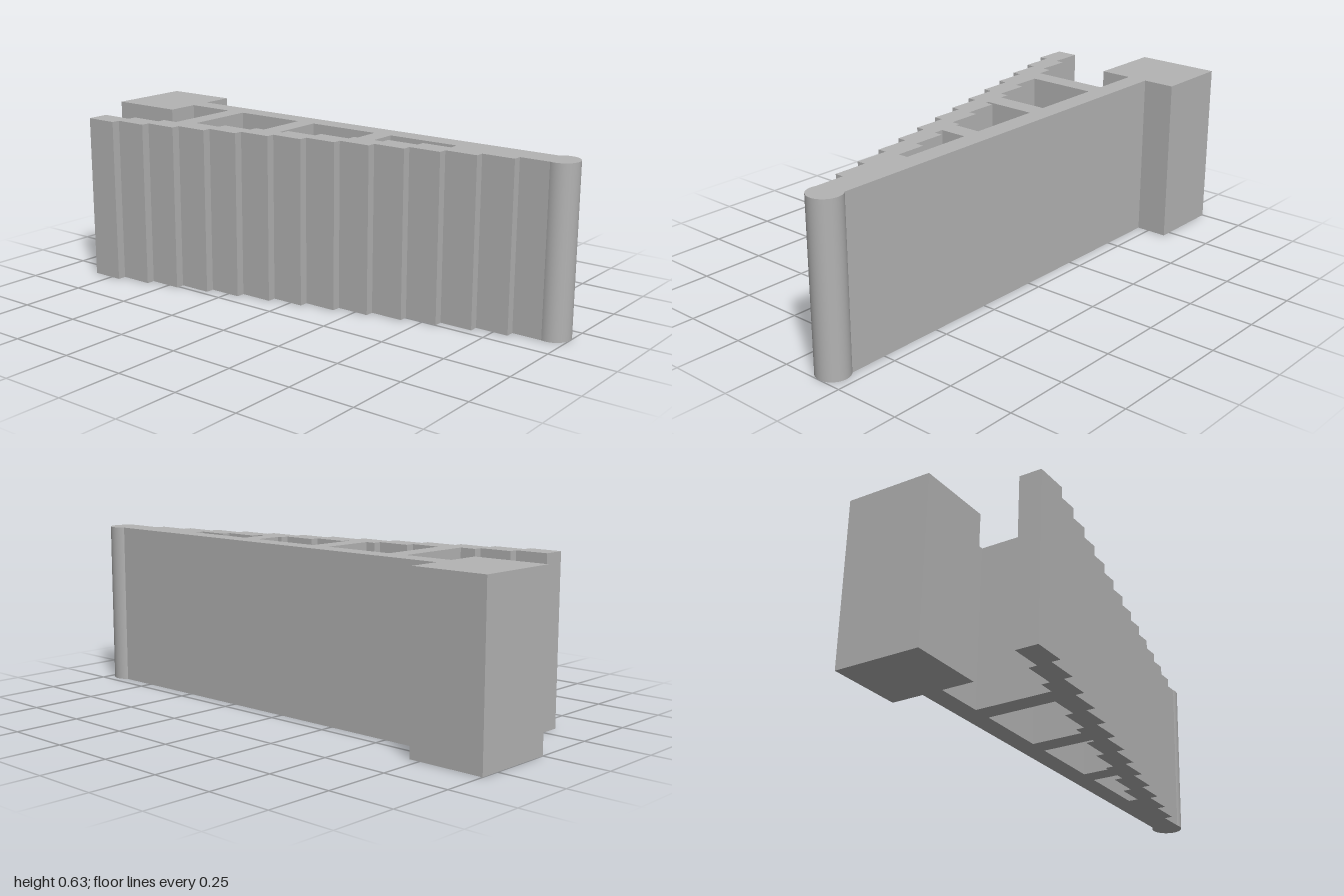
import * as THREE from 'three';

const HEIGHT = 0.627;
const STEPS = 14, STEP_X = 0.1264, STEP_Z = 0.0327, WALL_X = -0.835;
const BEAM_BACK = -0.203, BEAM_FRONT = -0.125;
const POST = { x: 0.9385, z: -0.159, r: 0.0615 };

const stepX = i => WALL_X + STEP_X * i;
const frontZ = i => 0.325 - STEP_Z * i;
// the back of the stepped wall merges into the beam at its thin end
const backZ = i => (i >= 11 ? BEAM_FRONT : 0.24 - STEP_Z * i);

export function createModel() {
  const group = new THREE.Group();
  const grey = new THREE.MeshStandardMaterial({ color: 0xb3b3b3 });
  grey.name = 'grey';

  const add = (name, geometry) => {
    const mesh = new THREE.Mesh(geometry, grey);
    mesh.name = name;
    group.add(mesh);
  };

  // raises a plan outline of [x, z] points to the full height
  const addPrism = (name, points) => {
    const shape = new THREE.Shape(points.map(([x, z]) => new THREE.Vector2(x, -z)));
    const geometry = new THREE.ExtrudeGeometry(shape, { depth: HEIGHT, bevelEnabled: false });
    add(name, geometry.rotateX(-Math.PI / 2));
  };
  const rect = (x0, x1, z0, z1) => [[x0, z0], [x1, z0], [x1, z1], [x0, z1]];

  // end block and long straight beam
  addPrism('endBlock', rect(-1, -0.71, -0.327, 0));
  addPrism('straightBeam', rect(-0.71, 0.9, BEAM_BACK, BEAM_FRONT));

  // rounded post where beam and wall meet
  const post = new THREE.CylinderGeometry(POST.r, POST.r, HEIGHT, 48);
  add('roundPost', post.translate(POST.x, HEIGHT / 2, POST.z));

  // stepped wall: the same staircase along front and back
  const front = [], back = [];
  for (let i = 0; i < STEPS; i++) {
    const x0 = stepX(i), x1 = i === STEPS - 1 ? POST.x : stepX(i + 1);
    front.push([x0, frontZ(i)], [x1, frontZ(i)]);
    if (i < 11) back.push([x0, backZ(i)], [x1, backZ(i)]);
  }
  back.push([stepX(11), BEAM_FRONT], [POST.x, BEAM_FRONT]);
  addPrism('steppedWall', [...front, ...back.reverse()]);

  // struts from the beam to the wall, following the steps they meet
  const struts = [[-0.52, -0.445], [-0.165, -0.09], [0.193, 0.265], [0.545, stepX(11)]];
  for (const [x0, x1] of struts) {
    const first = Math.floor((x0 - WALL_X) / STEP_X);
    const edge = stepX(first + 1);
    const points = [[x0, BEAM_FRONT], [x0, backZ(first)]];
    if (edge < x1 - 0.001) {
      points.push([edge, backZ(first)], [edge, backZ(first + 1)], [x1, backZ(first + 1)]);
    } else {
      points.push([x1, backZ(first)]);
    }
    points.push([x1, BEAM_FRONT]);
    addPrism('strut', points);
  }

  return group;
}
